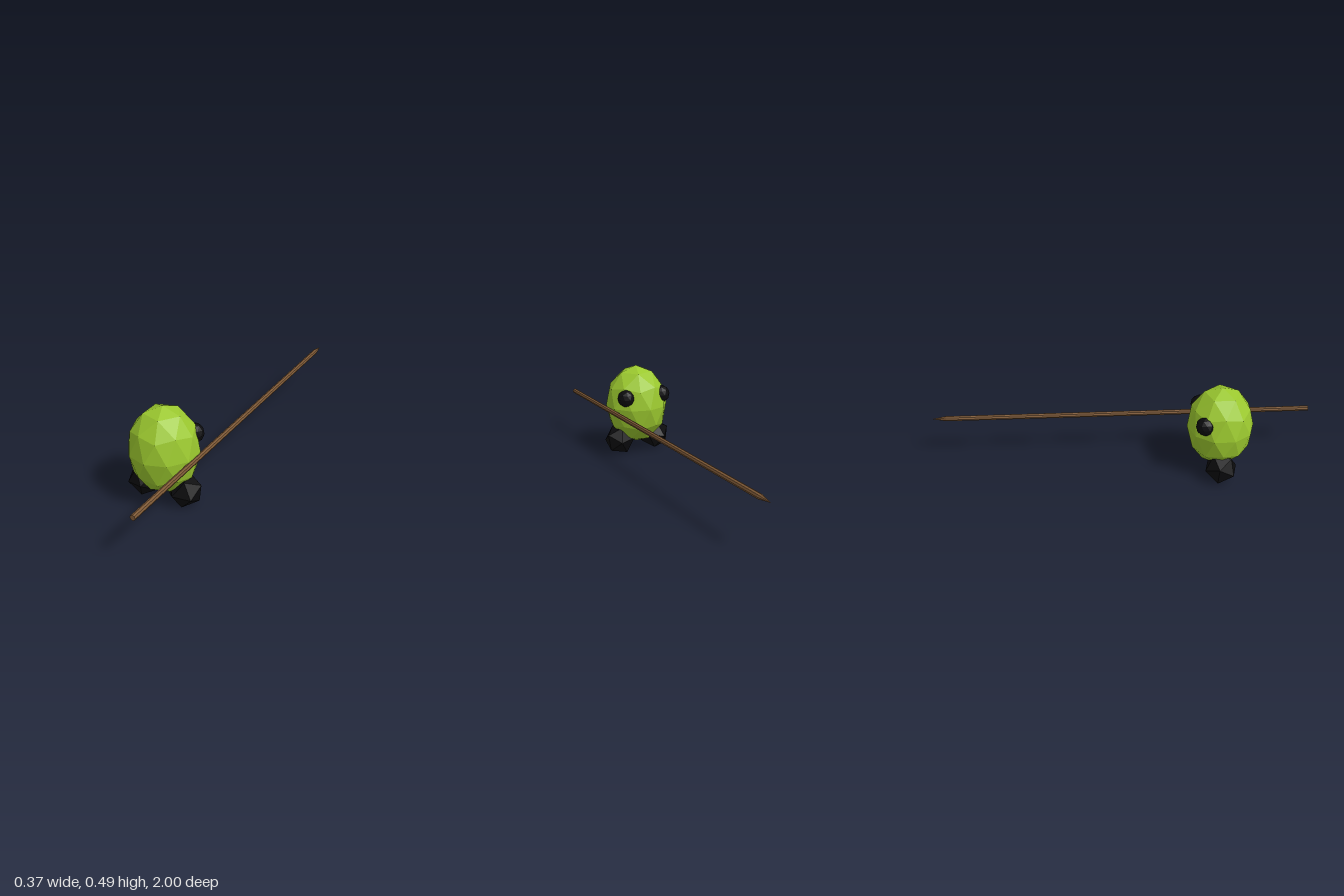
import * as THREE from 'three';

const flat = (name, color) => {
  const m = new THREE.MeshStandardMaterial({ color, flatShading: true });
  m.name = name;
  return m;
};

export function createModel() {
  const group = new THREE.Group();
  const green = flat('leaf green', 0x9bc82f);
  const black = flat('black', 0x0b0b0d);
  const brown = flat('wood brown', 0x7e5936);

  const add = (name, geometry, material, x, y, z) => {
    const mesh = new THREE.Mesh(geometry, material);
    mesh.name = name;
    mesh.position.set(x, y, z);
    group.add(mesh);
    return mesh;
  };

  // Egg-shaped faceted body: icosphere turned so that a corner points straight up
  const tilt = Math.atan(2 / (1 + Math.sqrt(5)));
  const poleUp = (r) => new THREE.IcosahedronGeometry(r, 1).rotateZ(-tilt);
  add('body', poleUp(1).scale(0.172, 0.2205, 0.172), green, 0, 0.2735, 0.498);

  for (const [side, s] of [['left', 1], ['right', -1]]) {
    // Foot: plain icosahedron, oriented by two of its neighbouring corners
    const a = new THREE.Vector3(0.077 * s, 0.034, -0.02);
    const b = new THREE.Vector3(0.02 * s, 0.069, 0.048);
    const up = a.clone().add(b).normalize();
    const across = a.clone().sub(b);
    across.addScaledVector(up, -across.dot(up)).normalize();
    const depth = across.clone().cross(up);
    const foot = new THREE.IcosahedronGeometry(0.0863, 0);
    foot.applyMatrix4(new THREE.Matrix4().makeBasis(across, up, depth));
    add(side + 'Foot', foot, black, 0.11 * s, 0.079, 0.498);

    // Eye: small ball half sunk into the body
    add(side + 'Eye', poleUp(0.049), black, 0.107 * s, 0.337, 0.405);
  }

  // Long spear held at the side, pointing to the back
  const r = 0.0137, tip = 0.075;
  const shaft = new THREE.CylinderGeometry(r, r, 2 - tip, 8, 1).rotateX(-Math.PI / 2);
  add('spearShaft', shaft, brown, 0.166, 0.253, tip / 2);
  const point = new THREE.ConeGeometry(r, tip, 8, 1, true).rotateX(-Math.PI / 2);
  add('spearTip', point, brown, 0.166, 0.253, -1 + tip / 2);

  return group;
}
